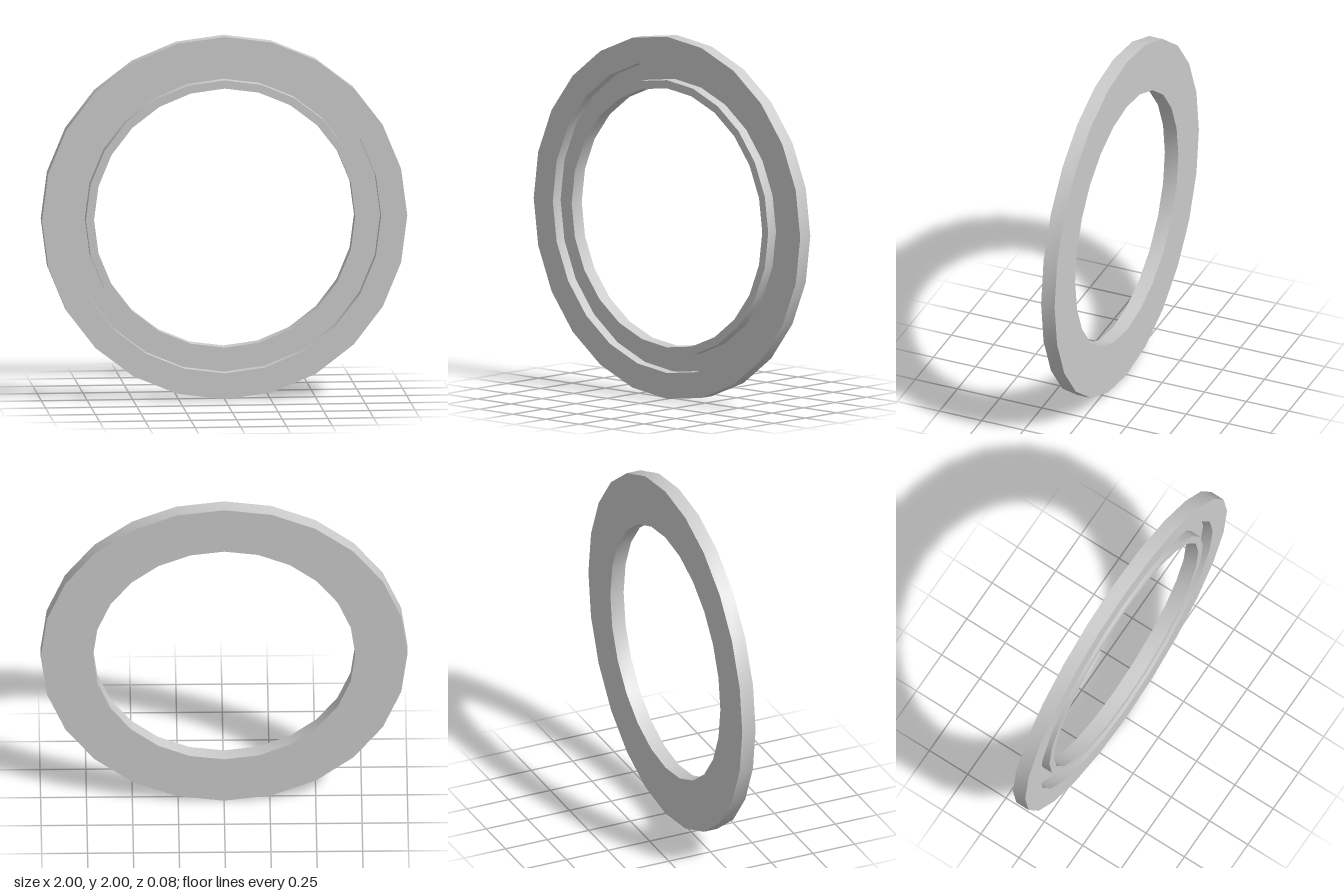
import * as THREE from 'three';
import { toCreasedNormals } from 'three/addons/utils/BufferGeometryUtils.js';

export function createModel() {
  const group = new THREE.Group();
  group.name = 'groovedRing';

  const front = 0.04, back = -0.04, floor = -0.022;
  const outer = 1, grooveOuter = 0.857, grooveInner = 0.76, inner = 0.715;

  // Closed cross-section (radius, depth): flat back, wide front face, deep groove, narrow inner lip
  const profile = [
    [inner, back], [outer, back], [outer, front],
    [grooveOuter, front], [grooveOuter, floor], [grooveInner, floor], [grooveInner, front],
    [inner, front], [inner, back],
  ].map(([r, z]) => new THREE.Vector2(r, z));

  // 24-sided ring, smooth around and sharp at the profile corners
  const geometry = toCreasedNormals(new THREE.LatheGeometry(profile, 24), Math.PI / 6);
  geometry.rotateX(Math.PI / 2);

  const ring = new THREE.Mesh(geometry, new THREE.MeshStandardMaterial({ color: 0xcccccc }));
  ring.name = 'ring';
  ring.position.y = outer;
  group.add(ring);
  return group;
}
